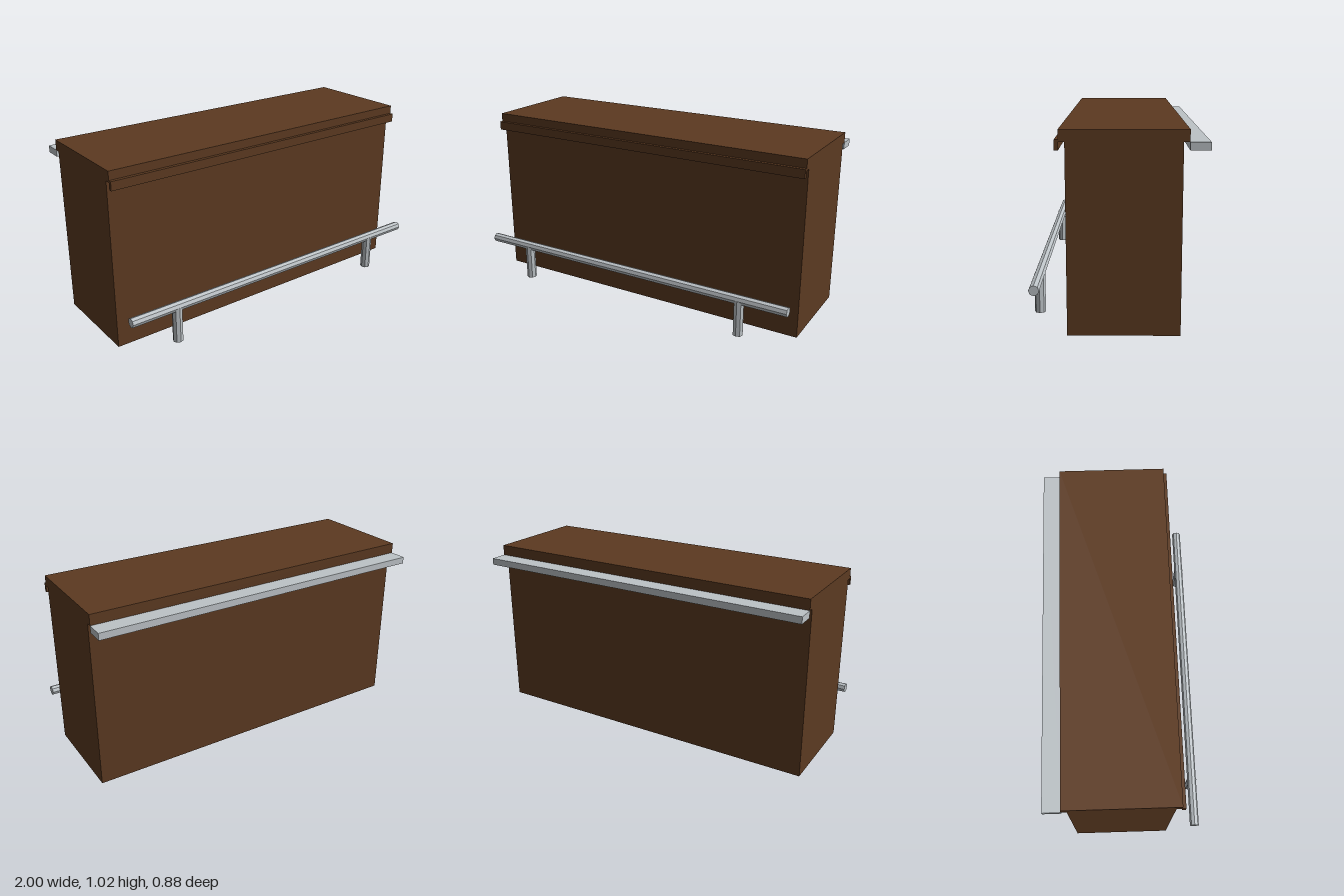
import * as THREE from 'three';

export function createModel() {
  const wood = new THREE.MeshStandardMaterial({ color: 0x5c3a21 });
  wood.name = 'dark brown wood';
  const metal = new THREE.MeshStandardMaterial({ color: 0xbdc3c7 });
  metal.name = 'silver metal';

  const group = new THREE.Group();
  group.name = 'barCounter';

  const add = (name, geometry, material, x, y, z) => {
    const mesh = new THREE.Mesh(geometry, material);
    mesh.name = name;
    mesh.position.set(x, y, z);
    group.add(mesh);
    return mesh;
  };

  // Full-width box given by its y and z limits
  const slab = (name, material, y0, y1, z0, z1) =>
    add(name, new THREE.BoxGeometry(2, y1 - y0, z1 - z0), material, 0, (y0 + y1) / 2, (z0 + z1) / 2);

  // Eight-sided faceted tube
  const tube = (radius, length) =>
    new THREE.CylinderGeometry(radius, radius, length, 8).toNonIndexed();
  const faceted = (geometry) => {
    geometry.computeVertexNormals();
    return geometry;
  };

  // Counter
  slab('counterBody', wood, 0, 0.962, -0.31, 0.25);
  slab('counterTop', wood, 0.962, 1.022, -0.34, 0.28);
  slab('frontTrim', wood, 0.923, 0.973, 0.28, 0.3);
  slab('backLedge', metal, 0.923, 0.962, -0.44, -0.34);

  // Foot rail on two posts
  const rail = add('footRail', faceted(tube(0.027, 2)), metal, 0, 0.231, 0.411);
  rail.rotation.z = Math.PI / 2;
  for (const side of [-1, 1]) {
    add(side < 0 ? 'rightRailPost' : 'leftRailPost',
      faceted(tube(0.029, 0.211)), metal, side * 0.722, 0.1265, 0.412);
  }

  return group;
}
